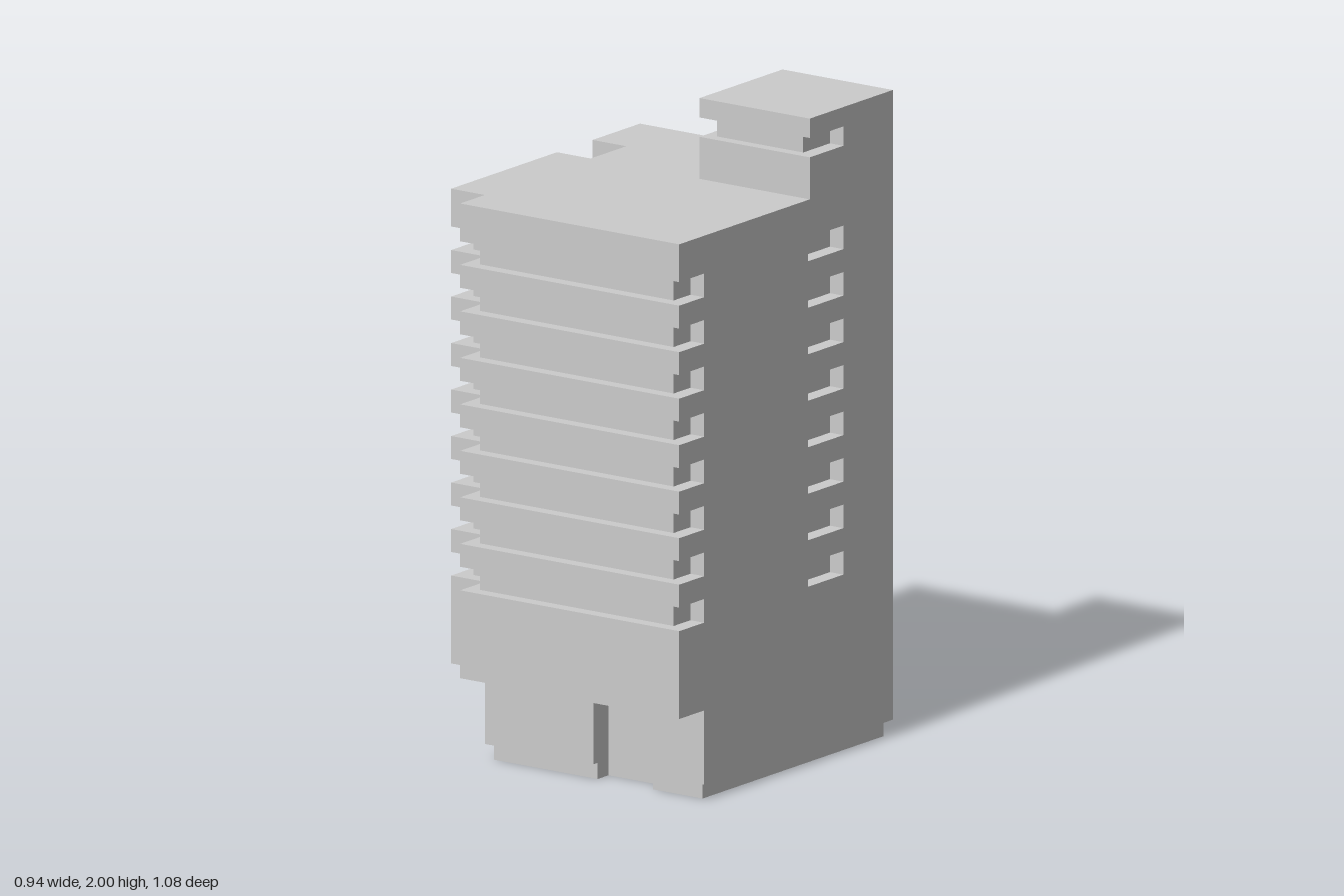
import * as THREE from 'three';
import { mergeGeometries } from 'three/addons/utils/BufferGeometryUtils.js';

const material = new THREE.MeshStandardMaterial({ color: 0xcccccc, flatShading: true, side: THREE.DoubleSide });

// Upright walls along a closed plan of [x, z] corners, between two heights
function walls(plan, y0, y1) {
  const sides = plan.map(([ax, az], i) => {
    const [bx, bz] = plan[(i + 1) % plan.length];
    const g = new THREE.PlaneGeometry(Math.hypot(bx - ax, bz - az), y1 - y0);
    g.rotateY(Math.atan2(az - bz, bx - ax));
    return g.translate((ax + bx) / 2, (y0 + y1) / 2, (az + bz) / 2);
  });
  return mergeGeometries(sides);
}

// Flat rectangles [x0, x1, z0, z1] at one height, facing up or down
function ledges(rects, y, up) {
  return mergeGeometries(rects.map(([x0, x1, z0, z1]) =>
    new THREE.PlaneGeometry(x1 - x0, z1 - z0)
      .rotateX(up ? -Math.PI / 2 : Math.PI / 2)
      .translate((x0 + x1) / 2, y, (z0 + z1) / 2)));
}

// Flat cap filling a plan
function cap(plan, y) {
  const shape = new THREE.Shape(plan.map(([x, z]) => new THREE.Vector2(x, -z)));
  return new THREE.ShapeGeometry(shape).rotateX(-Math.PI / 2).translate(0, y, 0);
}

// Ground storey plan with the entrance set back to the given depth
const groundPlan = (x0, x1, z0, z1, doorZ) => [
  [x0, z1], [0.06, z1], [0.06, doorZ], [0.265, doorZ], [0.265, z1], [x1, z1], [x1, z0], [x0, z0],
];

// Overhanging storeys: full outline, and outline of the recessed window bands
const leftSide = [
  [-0.47, -0.54], [-0.47, -0.3], [-0.345, -0.3], [-0.345, -0.12],
  [-0.47, -0.12], [-0.47, 0.415], [-0.345, 0.415], [-0.345, 0.54],
];
const floorPlan = [[0.47, 0.54], [0.47, -0.54], ...leftSide];
const roofPlan = [[0.47, 0.54], [0.47, -0.12], [0.06, -0.12], [0.06, -0.54], ...leftSide];
const bandPlan = [
  [-0.345, 0.415], [-0.3, 0.415], [-0.3, 0.5], [0.42, 0.5], [0.42, 0.415], [0.47, 0.415],
  [0.47, -0.11], [0.42, -0.11], [0.42, -0.29], [0.47, -0.29], [0.47, -0.54],
  [-0.345, -0.54], [-0.345, -0.495], [-0.42, -0.495], [-0.42, -0.345], [-0.345, -0.345],
  [-0.345, -0.075], [-0.42, -0.075], [-0.42, 0.37], [-0.345, 0.37],
];
const bandLedges = [
  [-0.345, 0.47, 0.5, 0.54], [-0.345, -0.3, 0.415, 0.5], [0.42, 0.47, 0.415, 0.5],
  [-0.47, -0.42, -0.12, 0.415], [-0.42, -0.345, -0.12, -0.075], [-0.42, -0.345, 0.37, 0.415],
  [-0.47, -0.42, -0.54, -0.3], [-0.42, -0.345, -0.54, -0.495], [-0.42, -0.345, -0.345, -0.3],
  [0.42, 0.47, -0.29, -0.11],
];

// Rooftop tower outlines
const towerPlan = [[0.06, -0.12], [0.47, -0.12], [0.47, -0.54], [0.06, -0.54]];
const towerBandPlan = [
  [0.1, -0.155], [0.42, -0.155], [0.42, -0.29], [0.47, -0.29],
  [0.47, -0.54], [0.06, -0.54], [0.06, -0.29], [0.1, -0.29],
];
const towerLedges = [[0.06, 0.47, -0.155, -0.12], [0.06, 0.1, -0.29, -0.155], [0.42, 0.47, -0.29, -0.155]];

export function createModel() {
  const model = new THREE.Group();
  model.name = 'towerBlock';
  const add = (name, ...geometries) => {
    const mesh = new THREE.Mesh(mergeGeometries(geometries), material);
    mesh.name = name;
    model.add(mesh);
  };

  // Plinth, open underneath
  add('plinth',
    walls(groundPlan(-0.325, 0.45, -0.52, 0.395, 0.34), 0, 0.05),
    ledges([
      [-0.345, 0.06, 0.395, 0.415], [0.265, 0.47, 0.395, 0.415], [-0.345, 0.47, -0.54, -0.52],
      [-0.345, -0.325, -0.52, 0.395], [0.45, 0.47, -0.52, 0.395],
    ], 0.05, false));

  // Ground storey with recessed entrance and lintel
  add('groundStorey', walls(groundPlan(-0.345, 0.47, -0.54, 0.415, 0.34), 0.05, 0.26));
  add('entranceLintel',
    walls(groundPlan(-0.345, 0.47, -0.54, 0.415, 0.395), 0.26, 0.28),
    ledges([[0.06, 0.265, 0.34, 0.395]], 0.26, false));

  // Underside of the overhangs
  add('overhangSoffit', ledges([
    [-0.345, 0.47, 0.415, 0.54], [0.06, 0.265, 0.395, 0.415],
    [-0.47, -0.345, -0.12, 0.415], [-0.47, -0.345, -0.54, -0.3],
  ], 0.28, false));

  // Eight window bands alternating with solid parapets
  const bands = 8, pitch = 0.144, height = 0.073;
  let bottom = 0.28;
  for (let i = 0; i < bands; i++) {
    const y = 0.552 + i * pitch;
    add('parapet' + (i + 1), walls(floorPlan, bottom, y));
    add('windowBand' + (i + 1),
      walls(bandPlan, y, y + height),
      ledges(bandLedges, y, true),
      ledges(bandLedges, y + height, false));
    bottom = y + height;
  }
  add('topParapet', walls(floorPlan, bottom, 1.75));
  add('roof', cap(roofPlan, 1.75));

  // Rooftop tower with a wraparound window band
  add('rooftopTower', walls(towerPlan, 1.75, 1.88), walls(towerPlan, 1.94, 2), cap(towerPlan, 2));
  add('rooftopWindowBand',
    walls(towerBandPlan, 1.88, 1.94),
    ledges(towerLedges, 1.88, true),
    ledges(towerLedges, 1.94, false));

  return model;
}
